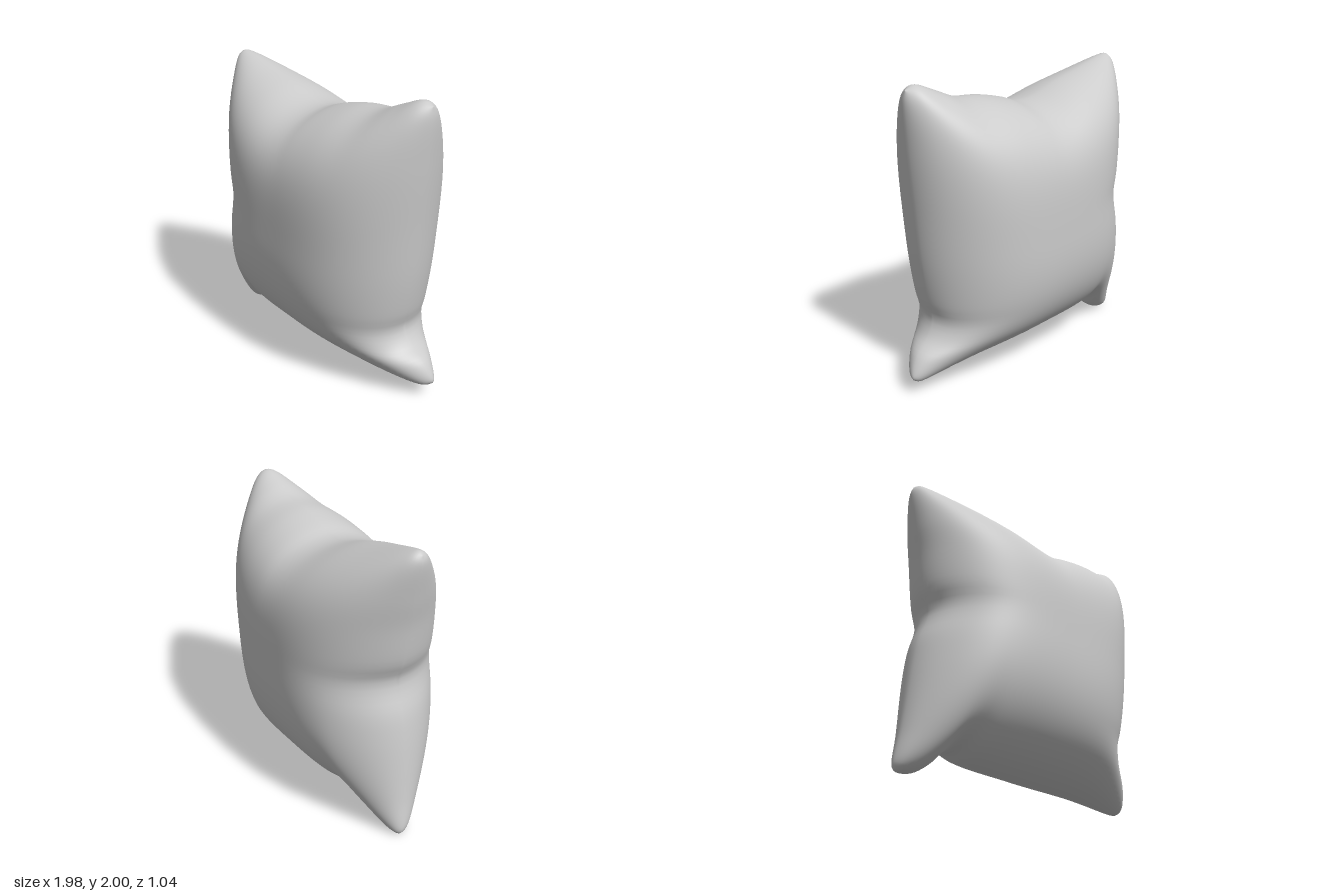
import * as THREE from 'three';
import { mergeVertices } from 'three/addons/utils/BufferGeometryUtils.js';

const seam = (points) =>
  new THREE.CatmullRomCurve3(points.map(([x, y]) => new THREE.Vector3(x, y, 0)), false, 'centripetal');

// Corners shared by the four seam curves
const TL = [-0.98, 1.965], TR = [0.92, 1.975], BL = [-0.965, 0.015], BR = [0.985, 0.105];

// Seam outline with its dents, bottom and top running left to right, sides running upward
const outline = {
  bottom: seam([BL, [-0.94, 0], [-0.85, 0.01], [-0.75, 0.075], [-0.67, 0.165], [-0.59, 0.195],
    [-0.46, 0.15], [0, 0.125], [0.5, 0.11], [0.94, 0.08], BR]),
  top: seam([TL, [-0.95, 1.985], [-0.89, 1.98], [-0.6, 1.91], [-0.4, 1.86], [-0.13, 1.78], [0, 1.78],
    [0.1, 1.815], [0.3, 1.86], [0.53, 1.885], [0.7, 1.95], [0.85, 2], TR]),
  left: seam([BL, [-0.975, 0.05], [-0.95, 0.25], [-0.9, 0.7], [-0.87, 0.87], [-0.82, 1.02],
    [-0.81, 1.1], [-0.86, 1.22], [-0.91, 1.5], [-0.95, 1.68], [-0.99, 1.92], TL]),
  right: seam([BR, [0.99, 0.13], [0.93, 0.25], [0.81, 0.34], [0.76, 0.44], [0.79, 0.56],
    [0.83, 0.8], [0.87, 1.2], [0.91, 1.6], [0.93, 1.9], TR]),
};

// Smooth version of the same seams, which shapes the interior
const soft = {
  bottom: seam([BL, [-0.4, 0.15], [0.3, 0.12], BR]),
  top: seam([TL, [-0.4, 1.85], [0.3, 1.84], TR]),
  left: seam([BL, [-0.88, 0.6], [-0.86, 1.3], TL]),
  right: seam([BR, [0.83, 0.6], [0.88, 1.3], TR]),
};

// Forward or backward drift of each corner tip
const DRIFT = { TL: 0.01, TR: -0.01, BL: -0.04, BR: -0.06 };
const N = 64;

// Half thickness: a full middle falling to the seam, with a small bulb kept at the corner tips
const fall = (s, power, curve) => Math.pow(Math.max(0, 1 - Math.pow(Math.abs(s), power)), curve);
const halfThickness = (s, t) => Math.hypot(
  0.515 * fall(s, 3, 0.62) * fall(t, t > 0 ? 4 : 2.8, 0.62),
  0.08 * fall(s, 20, 0.5) * fall(t, 20, 0.5));

const blend = (a, b, c, d, u, v) =>
  (1 - u) * (1 - v) * a + u * (1 - v) * b + (1 - u) * v * c + u * v * d;

function cushionGeometry() {
  // Rows crowd toward the seam so the rounded edge stays smooth
  const steps = Array.from({ length: N + 1 }, (_, i) => -Math.cos((Math.PI * i) / N));
  const sample = (curve) => steps.map((s) => curve.getPointAt((s + 1) / 2));
  const edge = {}, dent = {};
  for (const key of Object.keys(soft)) {
    edge[key] = sample(soft[key]);
    dent[key] = sample(outline[key]).map((p, i) => p.sub(edge[key][i]));
  }
  // Weighted sum of the four edges at one grid point
  const mix = (set, axis, i, j, u, v, power) =>
    Math.pow(1 - u, power) * set.left[j][axis] + Math.pow(u, power) * set.right[j][axis]
    + Math.pow(1 - v, power) * set.bottom[i][axis] + Math.pow(v, power) * set.top[i][axis];

  const positions = [];
  const indices = [];
  for (const side of [1, -1]) {
    const base = positions.length / 3;
    for (let j = 0; j <= N; j++) {
      for (let i = 0; i <= N; i++) {
        const s = steps[i], t = steps[j];
        const u = (s + 1) / 2, v = (t + 1) / 2;
        // Smooth fill between the seams, plus dents that fade quickly inward
        const [x, y] = ['x', 'y'].map((axis, k) =>
          mix(edge, axis, i, j, u, v, 1) - blend(BL[k], BR[k], TL[k], TR[k], u, v)
          + mix(dent, axis, i, j, u, v, 5));
        const drift = blend(DRIFT.BL, DRIFT.BR, DRIFT.TL, DRIFT.TR, u, v) * Math.pow(s * t, 4);
        const onSeam = i === 0 || j === 0 || i === N || j === N;
        positions.push(x, y, onSeam ? drift : drift + side * halfThickness(s, t));
      }
    }
    for (let j = 0; j < N; j++) {
      for (let i = 0; i < N; i++) {
        const a = base + j * (N + 1) + i, b = a + 1, c = a + N + 1, d = c + 1;
        if (side > 0) indices.push(a, b, d, a, d, c);
        else indices.push(a, d, b, a, c, d);
      }
    }
  }

  // Weld both halves along the seam
  const geometry = new THREE.BufferGeometry();
  geometry.setAttribute('position', new THREE.Float32BufferAttribute(positions, 3));
  geometry.setIndex(indices);
  const welded = mergeVertices(geometry, 1e-5);
  welded.computeVertexNormals();
  return welded;
}

export function createModel() {
  const model = new THREE.Group();
  model.name = 'pillow';
  const cushion = new THREE.Mesh(cushionGeometry(), new THREE.MeshStandardMaterial({ color: 0xcccccc }));
  cushion.name = 'cushion';
  model.add(cushion);
  return model;
}
